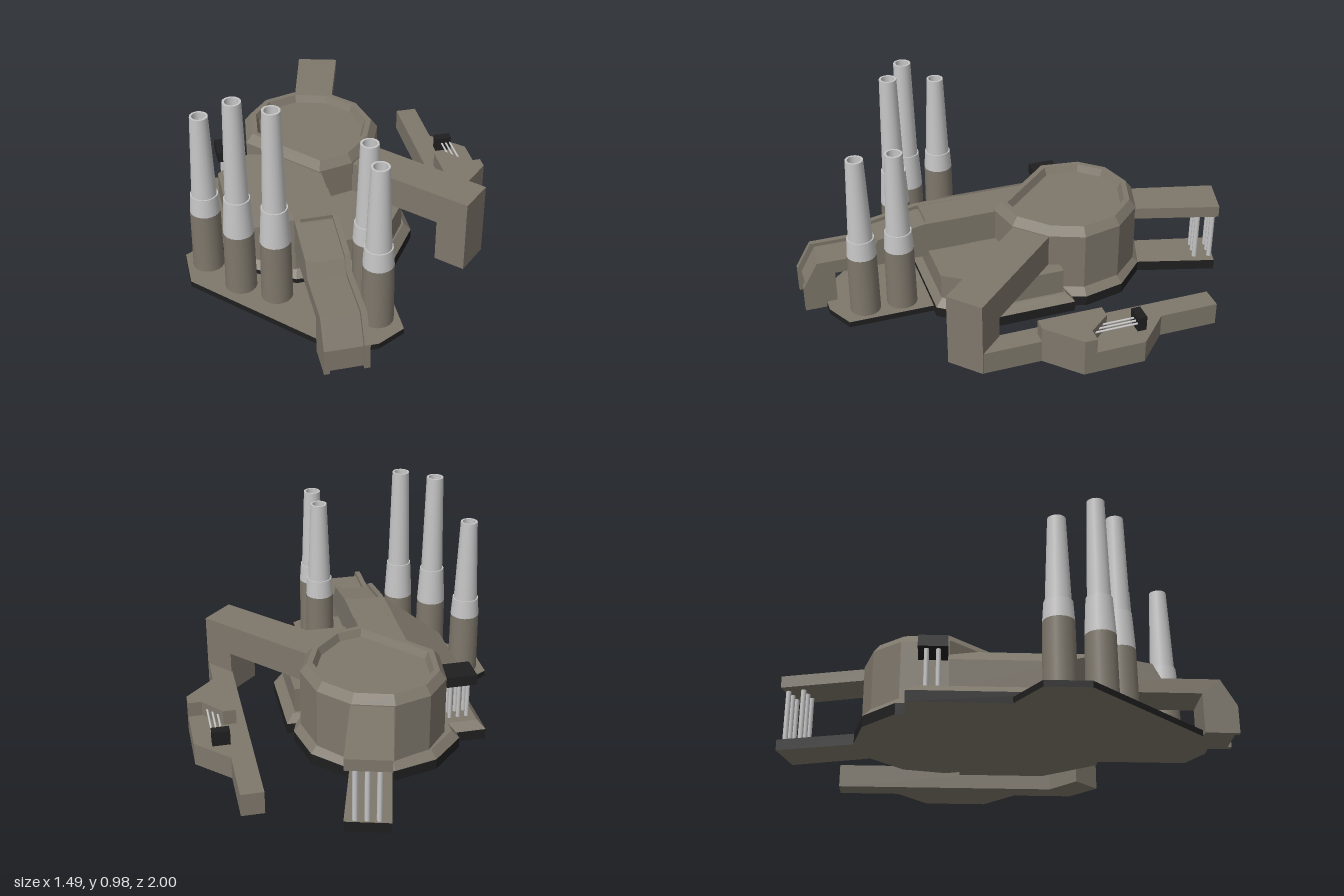
import * as THREE from 'three';

const mat = (name, color, side = THREE.FrontSide) => {
  const m = new THREE.MeshStandardMaterial({ color, side });
  m.name = name;
  return m;
};

export function createModel() {
  const stone = mat('warm grey', 0x7e776b);
  const black = mat('black', 0x1f1f1f);
  const steel = mat('light steel', 0xc6c6c6, THREE.DoubleSide);
  const root = new THREE.Group();

  const add = (name, geo, material, x = 0, y = 0, z = 0, parent = root) => {
    const m = new THREE.Mesh(geo, material);
    m.name = name;
    m.position.set(x, y, z);
    parent.add(m);
    return m;
  };

  // outline [x, z] -> counter-clockwise points in (x, -z)
  const ccw = (outline) => {
    const p = outline.map(([x, z]) => new THREE.Vector2(x, -z));
    return THREE.ShapeUtils.area(p) < 0 ? p.reverse() : p;
  };

  // moves every edge of an outline inwards by d
  const inset = (p, d) => p.map((c, i) => {
    const a = p[(i + p.length - 1) % p.length], b = p[(i + 1) % p.length];
    const e = c.clone().sub(a).normalize(), f = b.clone().sub(c).normalize();
    const n = new THREE.Vector2(-e.y, e.x), m = new THREE.Vector2(-f.y, f.x);
    return c.clone().addScaledVector(n.clone().add(m), d / (1 + n.dot(m)));
  });

  // stacks insets of an outline; levels = [[inset, y], ...]
  const loft = (outline, levels, top = true, bottom = true) => {
    const base = ccw(outline), pos = [];
    const rings = levels.map(([d, y]) => inset(base, d).map((p) => [p.x, y, -p.y]));
    for (let k = 0; k + 1 < rings.length; k++) {
      const lo = rings[k], hi = rings[k + 1];
      lo.forEach((a, i) => {
        const j = (i + 1) % lo.length;
        pos.push(...a, ...lo[j], ...hi[j], ...a, ...hi[j], ...hi[i]);
      });
    }
    const cap = (ring, up) => {
      const flat = ring.map((p) => new THREE.Vector2(p[0], -p[2]));
      for (const [a, b, c] of THREE.ShapeUtils.triangulateShape(flat, [])) {
        pos.push(...ring[a], ...ring[up ? b : c], ...ring[up ? c : b]);
      }
    };
    if (top) cap(rings[rings.length - 1], true);
    if (bottom) cap(rings[0], false);
    const g = new THREE.BufferGeometry();
    g.setAttribute('position', new THREE.Float32BufferAttribute(pos, 3));
    g.computeVertexNormals();
    return g;
  };

  // slab with black edges and stone faces, optionally bevelled
  const slab = (name, outline, h, upper = [[0, h]]) => {
    add(name + 'Edge', loft(outline, [[0, 0], [0, h]], false, false), black);
    add(name + 'Top', loft(outline, upper, true, false), stone);
    add(name + 'Underside', loft(outline, [[0, 0]], false, true), stone);
  };

  // ground slabs
  slab('mainBase', [[-0.574, -0.415], [-0.436, -0.415], [-0.436, -0.458], [-0.288, -0.6], [-0.087, -0.648],
    [0.1, -0.585], [0.24, -0.442], [0.283, -0.246], [0.262, -0.183], [0.302, -0.183], [0.302, 0.2],
    [0.14, 0.437], [-0.294, 0.437], [-0.574, 0.25]], 0.05, [[0, 0.05], [0.033, 0.085]]);
  slab('chimneyBase', [[-0.56, 0.01], [-0.75, 0.125], [-0.75, 0.32], [-0.294, 0.8], [-0.2, 0.9],
    [-0.034, 0.9], [0.093, 0.833], [0.093, 0.42], [-0.29, 0.42], [-0.56, 0.24]], 0.028);
  const rearArm = [[0.013, -0.997], [0.204, -0.944], [0.08, -0.52], [-0.1, -0.56]];
  slab('rearFoot', rearArm, 0.05);

  // round tower with bevelled rim and sunken roof
  const tower = [[-0.108, 0.077], [0.055, 0.04], [0.19, -0.093], [0.25, -0.246], [0.21, -0.43],
    [0.087, -0.563], [-0.093, -0.617], [-0.262, -0.569], [-0.368, -0.447], [-0.394, -0.24]];
  add('tower', loft(tower, [[0, 0.06], [0, 0.36], [0.03, 0.4], [0.055, 0.4], [0.07, 0.365]]), stone);

  // main building: low wing, central ridge, sloping roof
  add('lowWing', loft([[-0.12, 0.405], [0.115, 0.405], [0.257, 0.19], [0.257, -0.14], [-0.12, -0.14]],
    [[0, 0.07], [0, 0.205]]), stone);
  add('centralRidge', loft([[-0.29, 0.405], [-0.1, 0.405], [-0.1, -0.2], [-0.29, -0.2]],
    [[0, 0.07], [0, 0.354]]), stone);
  const slope = loft([[-0.54, -0.24], [-0.54, 0.235], [-0.29, 0.405], [-0.29, -0.24]], [[0, 0.07], [0, 0.205]]);
  const sp = slope.attributes.position;
  for (let i = 0; i < sp.count; i++) {
    if (sp.getY(i) > 0.2) sp.setY(i, 0.205 + 0.6 * (sp.getX(i) + 0.54));
  }
  slope.computeVertexNormals();
  add('slopingRoof', slope, stone);

  // front conveyor: two side rails and a recessed belt
  const conveyor = (name, d, x0, x1) => {
    const pts = [[0.2, 0.355], [0.42, 0.355], [0.64, 0.315], [0.675, 0.247], [0.93, 0.247], [1, 0.125]];
    const shape = new THREE.Shape([
      ...pts.map(([z, y]) => new THREE.Vector2(z - (z > 0.9 ? d : 0), y - d)),
      new THREE.Vector2(1 - d, 0), new THREE.Vector2(0.85, 0),
      new THREE.Vector2(0.85, 0.18), new THREE.Vector2(0.2, 0.18)]);
    const g = new THREE.ExtrudeGeometry(shape, { depth: x1 - x0, bevelEnabled: false });
    g.rotateY(-Math.PI / 2);
    add(name, g, stone, x1);
  };
  conveyor('conveyorRailRight', 0, -0.292, -0.267);
  conveyor('conveyorRailLeft', 0, -0.122, -0.097);
  conveyor('conveyorBelt', 0.018, -0.267, -0.122);

  // side arm with its leg
  add('sideArm', loft([[0.16, -0.12], [0.6, 0.357], [0.473, 0.478], [0.03, 0.01]], [[0, 0.205], [0, 0.355]]), stone);
  add('sideArmLeg', loft([[0.5, 0.249], [0.6, 0.357], [0.473, 0.478], [0.37, 0.37]], [[0, 0], [0, 0.21]]), stone);

  // rear arm carried on thin posts
  add('rearArm', loft(rearArm, [[0, 0.3], [0, 0.355]]), stone);
  for (const a of [-0.036, 0.036]) {
    for (const b of [-0.05, 0, 0.05]) {
      add('rearPost', new THREE.CylinderGeometry(0.012, 0.012, 0.25, 10), steel,
        0.097 + 0.26 * a + 0.965 * b, 0.175, -0.918 - 0.965 * a + 0.26 * b);
    }
  }

  // side walkway with raised block, pipes and control box
  add('walkway', loft([[0.495, -0.755], [0.597, -0.755], [0.597, -0.48], [0.743, -0.34], [0.743, -0.055],
    [0.597, 0.087], [0.597, 0.357], [0.495, 0.257]], [[0, 0], [0, 0.107]]), stone);
  add('walkwayBlock', loft([[0.537, -0.214], [0.597, -0.214], [0.68, -0.113], [0.743, -0.113],
    [0.743, -0.055], [0.597, 0.087], [0.537, 0.087]], [[0, 0], [0, 0.178]]), stone);
  add('controlBox', new THREE.BoxGeometry(0.08, 0.07, 0.042), black, 0.625, 0.142, -0.356);
  for (const x of [0.617, 0.638, 0.659]) {
    const pipe = new THREE.CylinderGeometry(0.005, 0.005, 0.22, 8).rotateX(Math.PI / 2);
    add('walkwayPipe', pipe, steel, x, 0.147, -0.23);
  }

  // raised black box on pipes at the rear corner
  add('cornerBox', new THREE.BoxGeometry(0.14, 0.05, 0.126), black, -0.465, 0.29, -0.308);
  for (const x of [-0.505, -0.465, -0.425]) {
    for (const z of [-0.335, -0.285]) {
      add('cornerPipe', new THREE.CylinderGeometry(0.01, 0.01, 0.2, 8), steel, x, 0.175, z);
    }
  }

  // stepped, hollow chimneys
  const chimney = (x, z, step, top) => {
    const g = new THREE.Group();
    g.name = 'chimney';
    g.position.set(x, 0, z);
    root.add(g);
    const rs = step > 0.45 ? 0.058 : 0.062, ru = rs - 0.006, h = top - step;
    const cyl = (name, r1, r0, y0, y1, m, open) =>
      add(name, new THREE.CylinderGeometry(r1, r0, y1 - y0, 20, 1, open), m, 0, (y0 + y1) / 2, 0, g);
    cyl('chimneyFoot', 0.068, 0.071, 0.02, 0.325, stone, false);
    cyl('chimneyCollar', rs, 0.068, 0.325, step, steel, false);
    cyl('chimneyPipe', 0.04, ru, step, top, steel, true);
    cyl('chimneyBore', 0.03, 0.03, top - h * 0.8, top, steel, true);
    add('chimneyRim', new THREE.RingGeometry(0.03, 0.04, 20).rotateX(-Math.PI / 2), steel, 0, top, 0, g);
  };
  chimney(-0.653, 0.2, 0.415, 0.812);
  chimney(-0.533, 0.385, 0.5, 0.976);
  chimney(-0.39, 0.487, 0.5, 0.976);
  chimney(0, 0.565, 0.415, 0.812);
  chimney(0, 0.738, 0.415, 0.812);

  return root;
}
